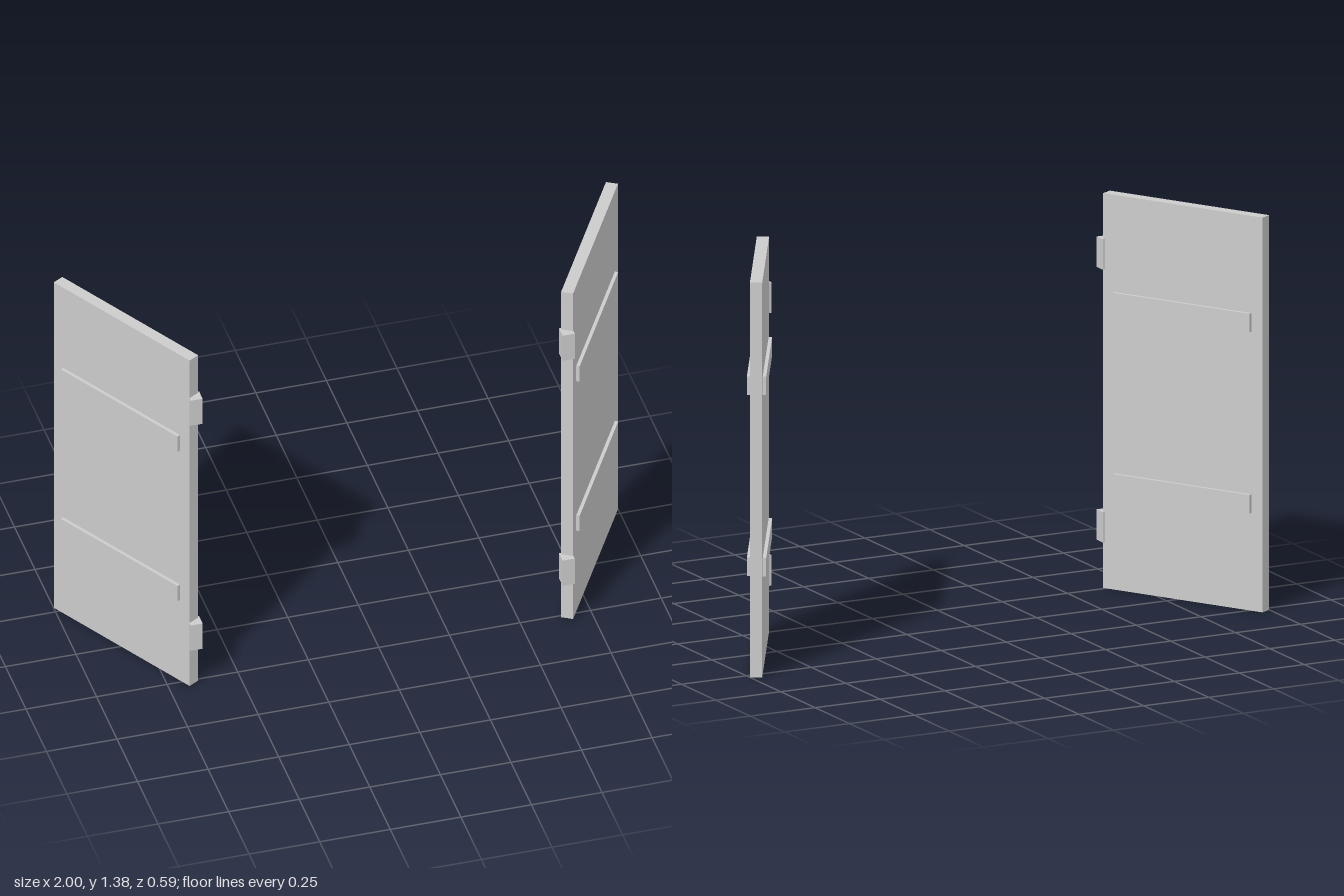
import * as THREE from 'three';

export function createModel() {
  const model = new THREE.Group();
  const grey = new THREE.MeshStandardMaterial({ color: 0xcccccc });
  grey.name = 'light grey';

  const height = 1.385, width = 0.64, thick = 0.042, strapThick = 0.012;

  const addBox = (parent, name, size, pos) => {
    const mesh = new THREE.Mesh(new THREE.BoxGeometry(...size), grey);
    mesh.name = name;
    mesh.position.set(...pos);
    parent.add(mesh);
  };

  // Two open door leaves, mirrored across x = 0
  for (const side of [1, -1]) {
    const door = new THREE.Group();
    door.name = side > 0 ? 'leftDoor' : 'rightDoor';
    model.add(door);

    // Leaf turned 60 degrees outward, with straps on both faces
    const leaf = new THREE.Group();
    leaf.name = 'leaf';
    leaf.position.set(side * 0.821, 0, -0.0075);
    leaf.rotation.y = side * Math.PI / 3;
    door.add(leaf);
    addBox(leaf, 'panel', [width, height, thick], [0, height / 2, 0]);
    for (const y of [0.376, 1.012]) {
      for (const face of [1, -1]) {
        addBox(leaf, 'strap', [0.55, 0.065, strapThick],
          [0, y, face * (thick + strapThick) / 2]);
      }
    }

    // Hinge blocks, square to the doorway
    for (const y of [0.215, 1.172]) {
      addBox(door, 'hinge', [0.043, 0.107, 0.044], [side * 0.659, y, 0.274]);
    }
  }
  return model;
}
